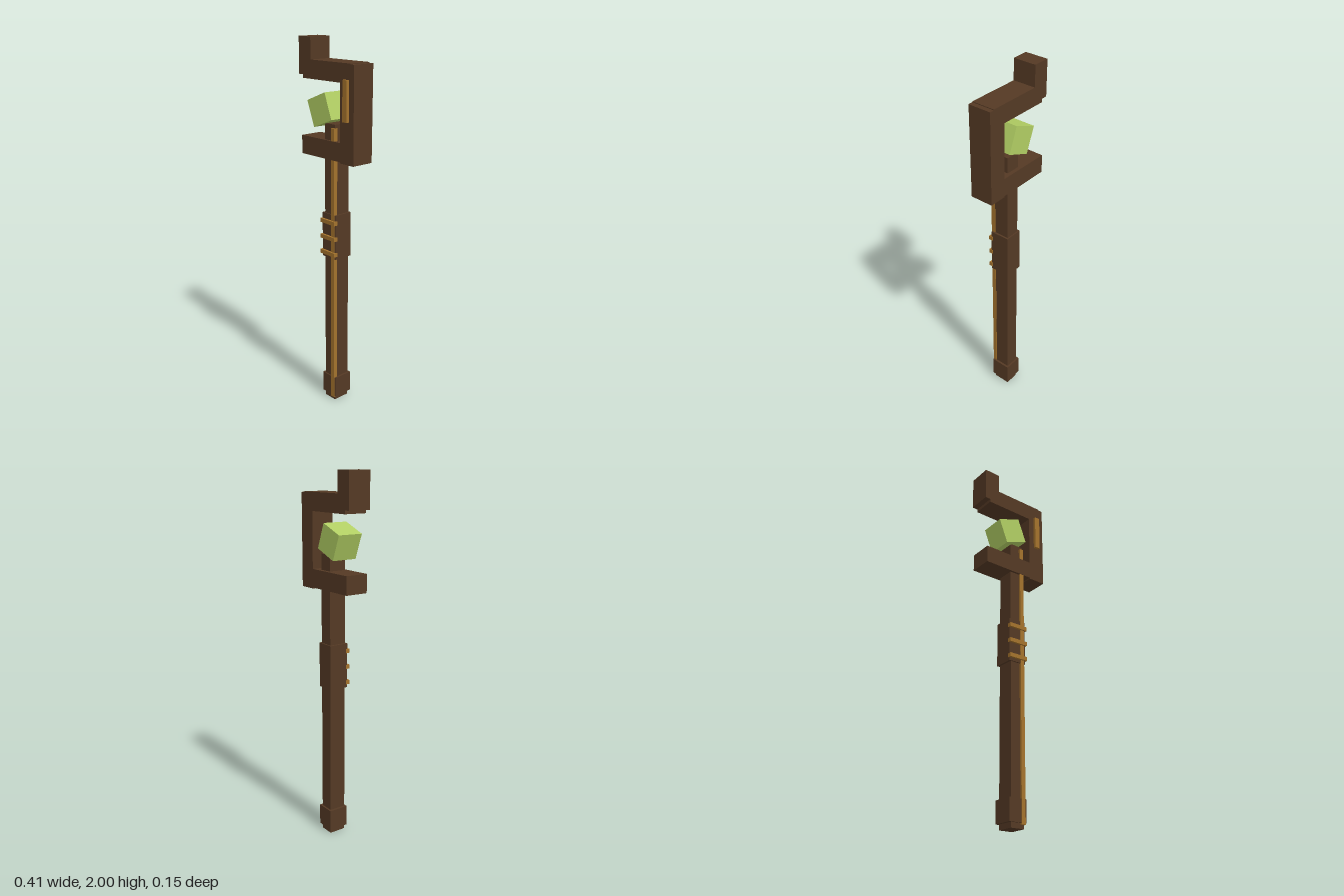
import * as THREE from 'three';

const material = (name, color) => {
  const m = new THREE.MeshStandardMaterial({ color });
  m.name = name;
  return m;
};

export function createModel() {
  const wood = material('dark wood', 0x543924);
  const gold = material('gold trim', 0xa3722c);
  const green = material('green crystal', 0xb0cd63);
  const staff = new THREE.Group();
  staff.name = 'staff';

  // Box given by its extents on each axis
  function block(name, mat, [x0, x1], [y0, y1], [z0, z1], parent = staff) {
    const mesh = new THREE.Mesh(new THREE.BoxGeometry(x1 - x0, y1 - y0, z1 - z0), mat);
    mesh.position.set((x0 + x1) / 2, (y0 + y1) / 2, (z0 + z1) / 2);
    mesh.name = name;
    parent.add(mesh);
    return mesh;
  }

  // Pole with its grip, foot and inlaid strip
  block('shaft', wood, [-0.021, 0.057], [0, 1.578], [-0.053, 0.042]);
  block('grip', wood, [-0.034, 0.068], [0.857, 1.102], [-0.06, 0.049]);
  block('foot', wood, [-0.035, 0.069], [0.028, 0.144], [-0.063, 0.049]);
  block('shaftStrip', gold, [0.037, 0.06], [0.02, 1.56], [0.03, 0.053]);

  // Bands across the front of the grip
  for (const y of [0.885, 0.972, 1.06]) {
    block('gripBand', gold, [-0.037, 0.072], [y - 0.011, y + 0.011], [0.04, 0.062]);
  }

  // Open angular hook at the head
  const head = new THREE.Group();
  head.name = 'head';
  staff.add(head);
  const depth = [-0.074, 0.054];
  block('lowerArm', wood, [-0.19, 0.11], [1.396, 1.494], depth, head);
  block('post', wood, [0.106, 0.204], [1.39, 1.884], depth, head);
  block('upperArm', wood, [-0.175, 0.178], [1.792, 1.888], depth, head);
  block('hookTip', wood, [-0.207, -0.116], [1.81, 2], depth, head);
  block('postInlay', gold, [0.139, 0.17], [1.605, 1.81], [0.04, 0.07], head);

  // Tilted cube held inside the hook
  const crystal = block('crystal', green, [-0.1, 0.042], [1.575, 1.717], [-0.07, 0.073]);
  crystal.rotation.z = 0.37;

  return staff;
}
